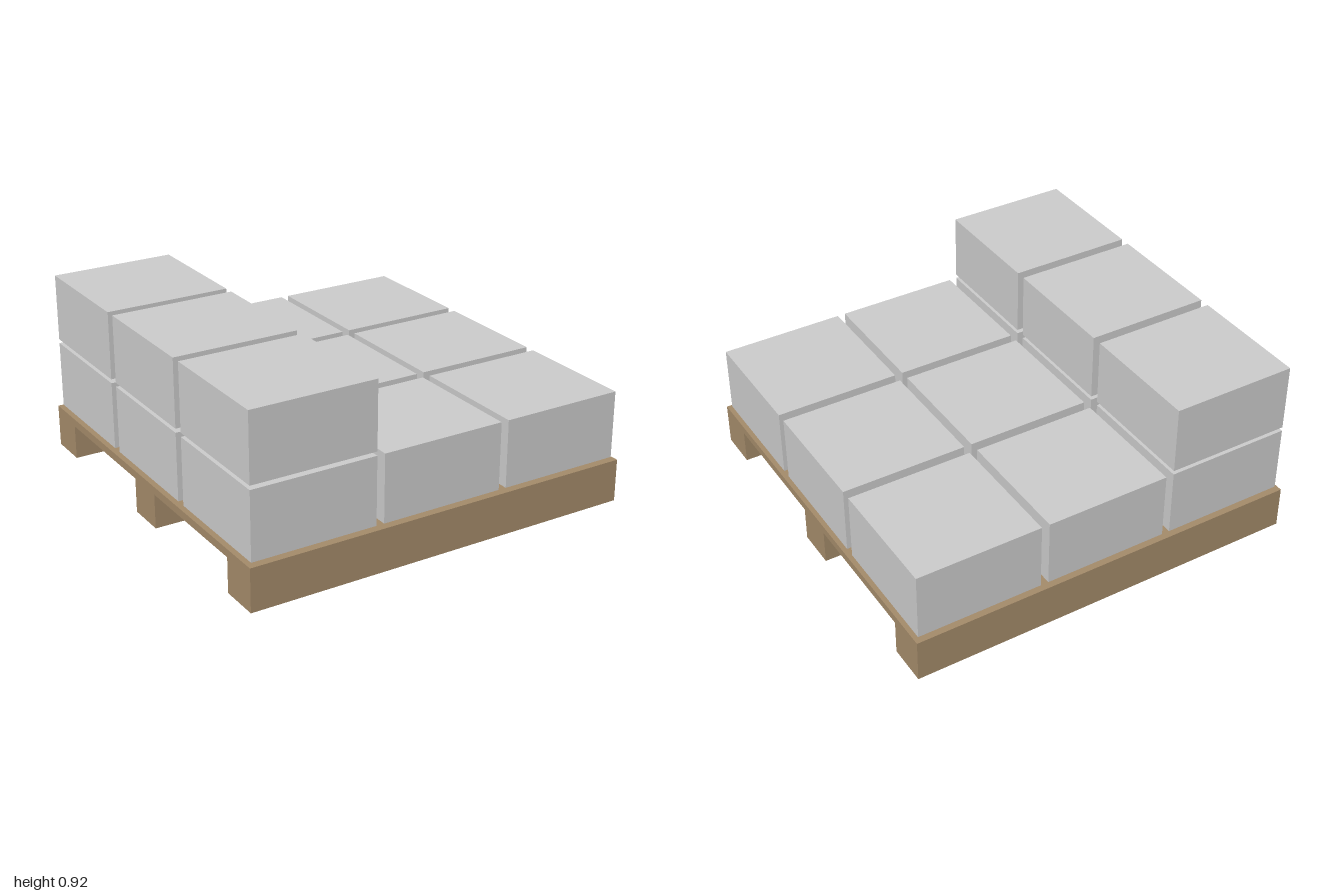
import * as THREE from 'three';

export function createModel() {
  const model = new THREE.Group();
  const wood = new THREE.MeshStandardMaterial({ color: 0xa48b6a });
  const grey = new THREE.MeshStandardMaterial({ color: 0xcccccc });

  // Adds a box whose underside sits at height y
  function addBox(parent, name, material, [w, h, d], [x, y, z]) {
    const mesh = new THREE.Mesh(new THREE.BoxGeometry(w, h, d), material);
    mesh.name = name;
    mesh.position.set(x, y + h / 2, z);
    parent.add(mesh);
  }

  // Pallet: a deck on three full-width runners
  const pallet = new THREE.Group();
  pallet.name = 'pallet';
  addBox(pallet, 'deck', wood, [2, 0.04, 2], [0, 0.175, 0]);
  for (const z of [-0.9, 0, 0.9]) {
    addBox(pallet, 'runner', wood, [2, 0.175, 0.2], [0, 0, z]);
  }
  model.add(pallet);

  // Cartons: a full 3 x 3 layer, then one row stacked on the right side
  const cartons = new THREE.Group();
  cartons.name = 'cartons';
  const pitch = 0.667;
  const size = [0.627, 0.338, 0.617];
  for (let column = -1; column <= 1; column++) {
    const layers = column === -1 ? 2 : 1;
    for (let row = -1; row <= 1; row++) {
      for (let layer = 0; layer < layers; layer++) {
        addBox(cartons, 'carton', grey, size, [column * pitch, 0.225 + layer * 0.358, row * pitch]);
      }
    }
  }
  model.add(cartons);

  return model;
}
